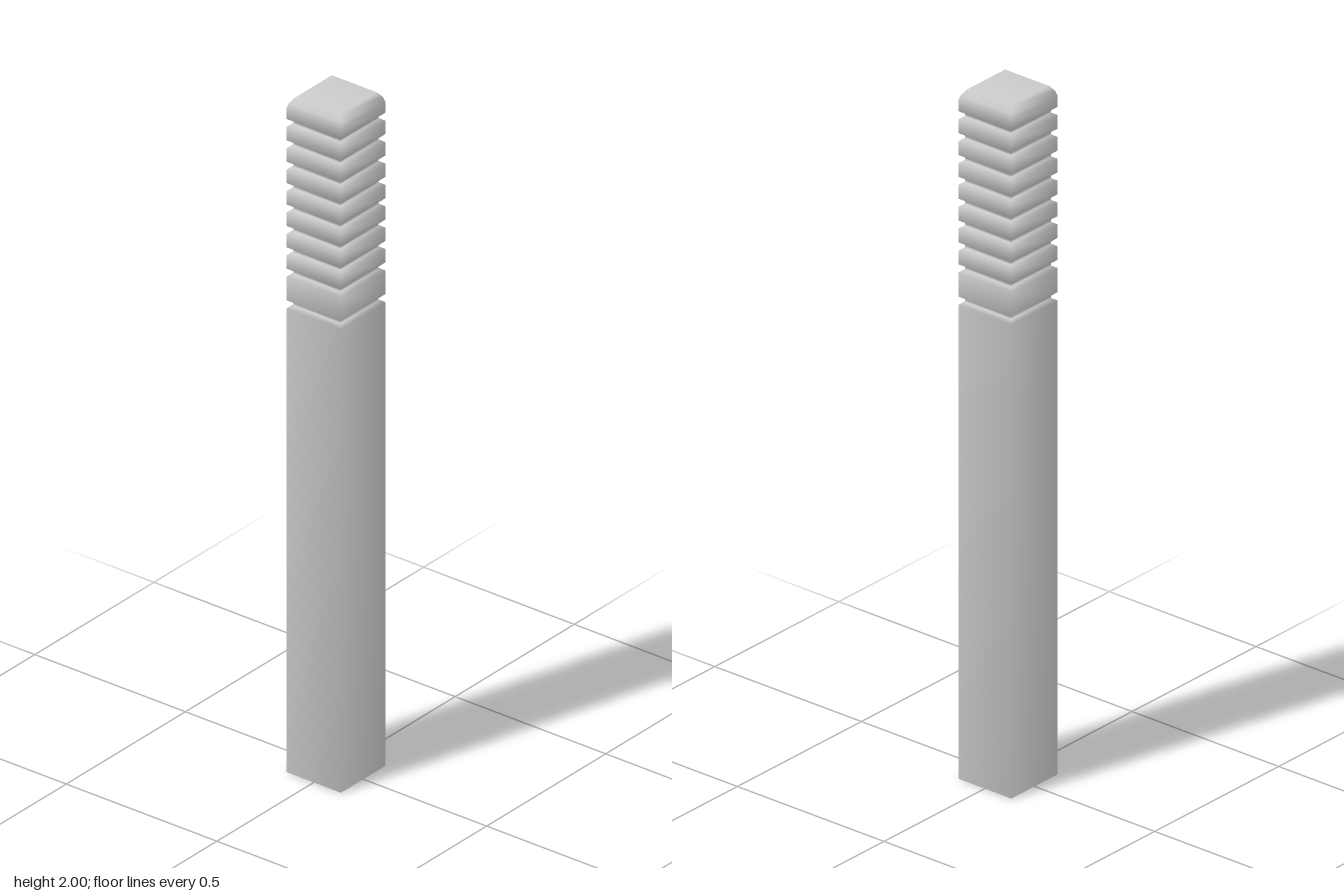
import * as THREE from 'three';

const HALF_X = 0.0935, HALF_Z = 0.0905; // half sizes of the rectangular section
const CORE = 0.86;                      // groove depth as a share of the full section
const FLAT = 0.005, LIP = 0.012;        // groove half-widths at its floor and at its mouth

export function createModel() {
  const group = new THREE.Group();
  group.name = 'groovedPost';
  const material = new THREE.MeshStandardMaterial({ color: 0xcccccc });

  // Four-sided smooth solid from [share of full section, height] pairs, bottom to top
  function addPart(name, profile) {
    const points = profile.map(([s, y]) => new THREE.Vector2(s * Math.SQRT2, y));
    const geometry = new THREE.LatheGeometry(points, 4, Math.PI / 4);
    geometry.scale(HALF_X, 1, HALF_Z);
    const mesh = new THREE.Mesh(geometry, material);
    mesh.name = name;
    group.add(mesh);
  }

  // Groove centres: one under the wide band, then evenly spaced to the cap
  const grooves = [1.388];
  for (let i = 0; i < 8; i++) grooves.push(1.482 + i * 0.0635);

  const fromGroove = (y) => [[CORE, y], [CORE, y + FLAT], [1, y + LIP]];
  const toGroove = (y) => [[1, y - LIP], [CORE, y - FLAT], [CORE, y]];

  // Plain shaft with closed base
  addPart('shaft', [[0, 0], [1, 0], ...toGroove(grooves[0])]);

  // Raised bands between grooves
  for (let i = 0; i < grooves.length - 1; i++) {
    addPart(`band${i + 1}`, [...fromGroove(grooves[i]), ...toGroove(grooves[i + 1])]);
  }

  // Cap with bevelled shoulders
  addPart('cap', [...fromGroove(grooves[8]), [1, 1.97], [0.95, 1.985], [0.83, 2], [0, 2]]);

  return group;
}
